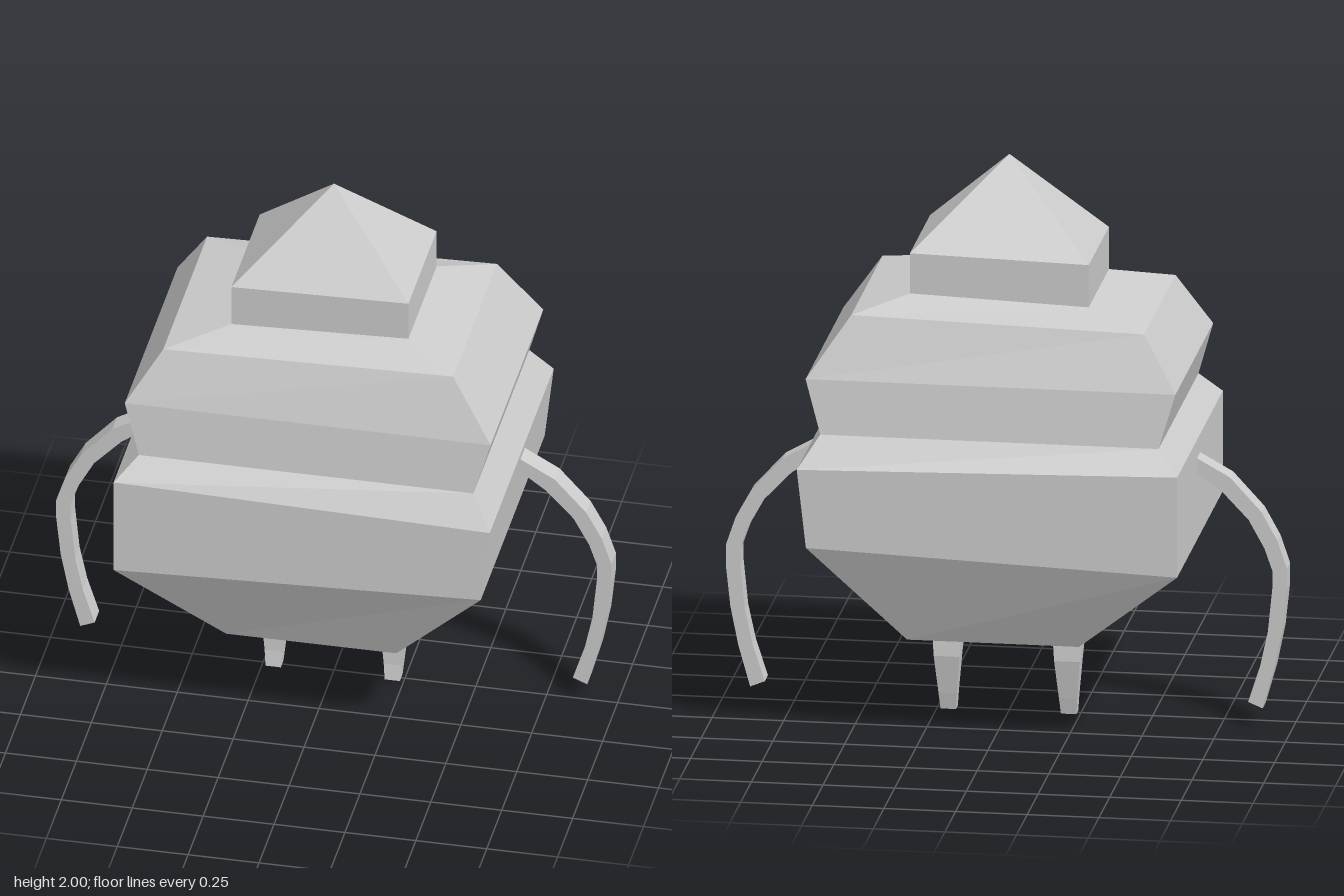
import * as THREE from 'three';

const grey = new THREE.MeshStandardMaterial({ color: 0xcccccc, flatShading: true });
grey.name = 'plain grey';

// One four-cornered ring: left edge (xl, yl), right edge (xr, yr), front and back depth
const ring = (xl, yl, xr, yr, zf, zb = -zf) =>
  [[xl, yl, zf], [xr, yr, zf], [xr, yr, zb], [xl, yl, zb]].map((p) => new THREE.Vector3(...p));

// Skin rings from bottom to top, with flat caps; collapsed triangles are skipped
function loft(rings) {
  const pos = [];
  const tri = (a, b, c) => {
    if (a.equals(b) || b.equals(c) || a.equals(c)) return;
    for (const v of [a, b, c]) pos.push(v.x, v.y, v.z);
  };
  for (let r = 0; r < rings.length - 1; r++) {
    const lo = rings[r], hi = rings[r + 1];
    for (let i = 0; i < 4; i++) {
      const j = (i + 1) % 4;
      tri(lo[i], lo[j], hi[j]);
      tri(lo[i], hi[j], hi[i]);
    }
  }
  const first = rings[0], last = rings[rings.length - 1];
  tri(first[0], first[2], first[1]);
  tri(first[0], first[3], first[2]);
  tri(last[0], last[1], last[2]);
  tri(last[0], last[2], last[3]);
  const geo = new THREE.BufferGeometry();
  geo.setAttribute('position', new THREE.Float32BufferAttribute(pos, 3));
  geo.computeVertexNormals();
  return geo;
}

export function createModel() {
  const model = new THREE.Group();
  model.name = 'squatFigure';
  const add = (name, geo) => {
    const mesh = new THREE.Mesh(geo, grey);
    mesh.name = name;
    model.add(mesh);
  };

  // Stepped body, its edges slightly uneven from left to right
  add('body', loft([
    ring(-0.3, 0.35, 0.3, 0.35, 0.38),
    ring(-0.665, 0.66, 0.63, 0.71, 0.533),
    ring(-0.665, 1.02, 0.662, 0.99, 0.533),
    ring(-0.59, 1.1, 0.59, 1.1, 0.465),
    ring(-0.645, 1.29, 0.645, 1.29, 0.44),
    ring(-0.525, 1.48, 0.497, 1.505, 0.365),
    ring(-0.312, 1.53, 0.312, 1.553, 0.235),
  ]));

  // Square head block with a pointed top
  add('head', loft([
    ring(-0.312, 1.53, 0.312, 1.553, 0.235),
    ring(-0.312, 1.682, 0.312, 1.697, 0.235),
    ring(0, 2, 0, 2, 0),
  ]));

  // Thin curved arms, outer edge then inner edge
  const outer = [[0.6, 0.985], [0.66, 0.957], [0.78, 0.89], [0.89, 0.77], [0.945, 0.67],
    [0.979, 0.57], [0.979, 0.5], [0.963, 0.35], [0.935, 0.21], [0.894, 0.064]];
  const inner = [[0.843, 0.085], [0.885, 0.215], [0.912, 0.34], [0.928, 0.5], [0.928, 0.56],
    [0.9, 0.64], [0.845, 0.74], [0.75, 0.84], [0.66, 0.905], [0.6, 0.93]];

  for (const [side, s] of [['left', 1], ['right', -1]]) {
    const outline = new THREE.Shape([...outer, ...inner].map(([x, y]) => new THREE.Vector2(s * x, y)));
    const arm = new THREE.ExtrudeGeometry(outline, { depth: 0.075, bevelEnabled: false });
    add(side + 'Arm', arm.translate(0, 0, -0.07));

    // Short tapered legs, bent back at the knee
    const x = s * 0.21;
    const leg = (y, w, zf, zb) => ring(x - w, y, x + w, y, zf, zb);
    add(side + 'Leg', loft([
      leg(0, 0.027, 0.022, -0.022),
      leg(0.06, 0.032, 0.014, -0.036),
      leg(0.2, 0.045, 0.01, -0.062),
      leg(0.36, 0.056, 0.06, -0.05),
    ]));
  }
  return model;
}
